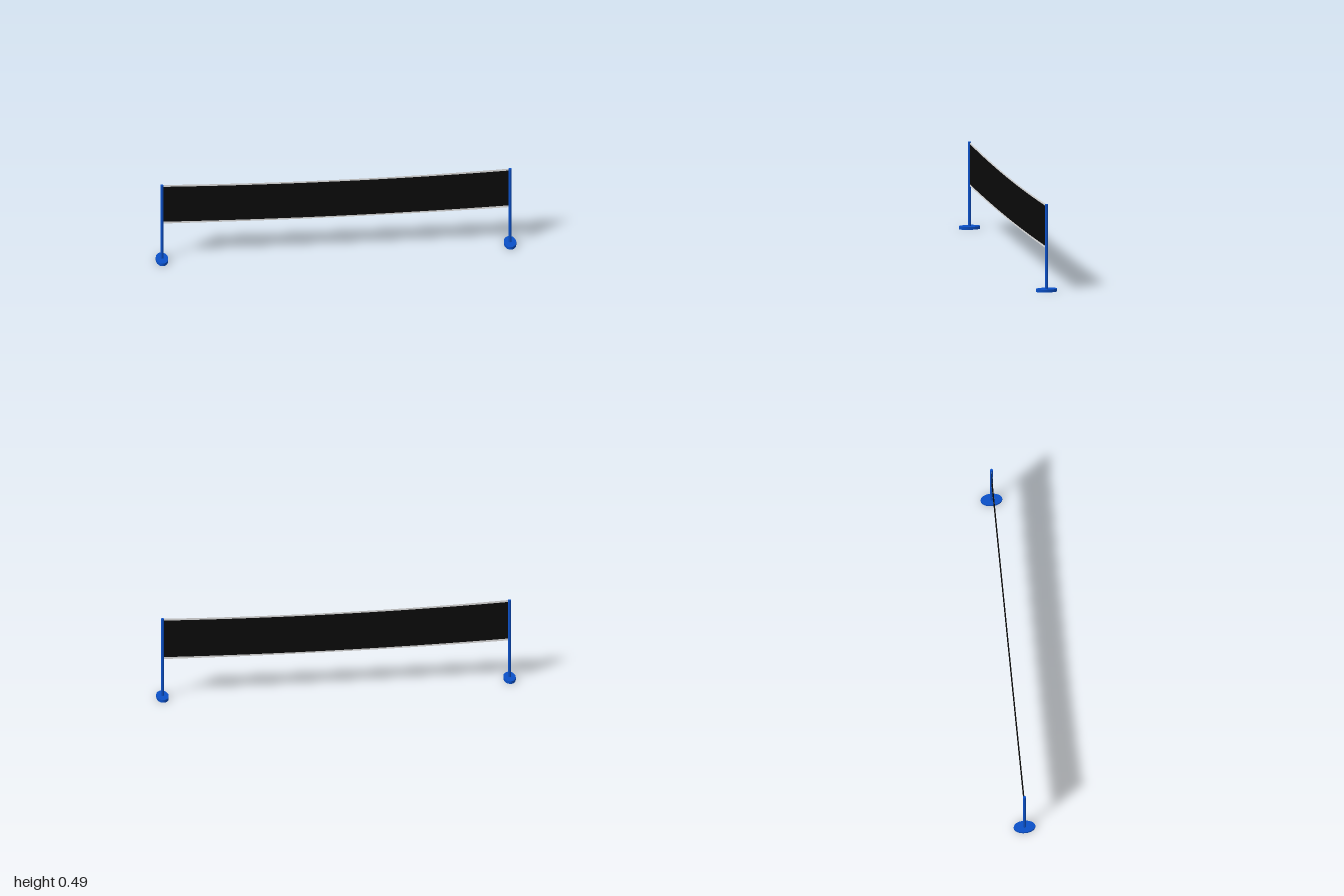
import * as THREE from 'three';

const POST_X = 0.966, TOP = 0.49;

export function createModel() {
  const group = new THREE.Group();
  const mat = (name, color) => {
    const m = new THREE.MeshStandardMaterial({ color });
    m.name = name;
    return m;
  };
  const blue = mat('post blue', 0x0a50c8);
  const black = mat('net black', 0x0a0a0a);
  const white = mat('band white', 0xe6e6e6);
  black.side = white.side = THREE.DoubleSide;

  const add = (name, geometry, material, parent = group) => {
    const mesh = new THREE.Mesh(geometry, material);
    mesh.name = name;
    parent.add(mesh);
    return mesh;
  };

  // Flat strip between two heights, sagging towards the middle
  const strip = (y0, y1, sag0, sag1) => {
    const g = new THREE.PlaneGeometry(POST_X * 2, 1, 24, 1);
    const p = g.attributes.position;
    for (let i = 0; i < p.count; i++) {
      const t = p.getX(i) / POST_X, dip = 1 - t * t;
      p.setY(i, p.getY(i) > 0 ? y1 - sag1 * dip : y0 - sag0 * dip);
    }
    return g;
  };

  // Net with its two edge bands
  add('net', strip(0.252, 0.478, 0.015, 0.018), black);
  add('topBand', strip(0.478, TOP, 0.018, 0.02), white);
  add('bottomBand', strip(0.24, 0.252, 0.012, 0.015), white);

  // Posts on oval feet
  for (const [side, s] of [['left', 1], ['right', -1]]) {
    const stand = new THREE.Group();
    stand.name = side + 'Stand';
    stand.position.x = s * POST_X;
    group.add(stand);
    const foot = new THREE.CylinderGeometry(1, 1, 0.016, 32).scale(0.034, 1, 0.06);
    add(side + 'Foot', foot, blue, stand).position.y = 0.008;
    const post = new THREE.CylinderGeometry(0.008, 0.008, TOP - 0.016, 16);
    add(side + 'Post', post, blue, stand).position.y = (TOP + 0.016) / 2;
  }
  return group;
}
